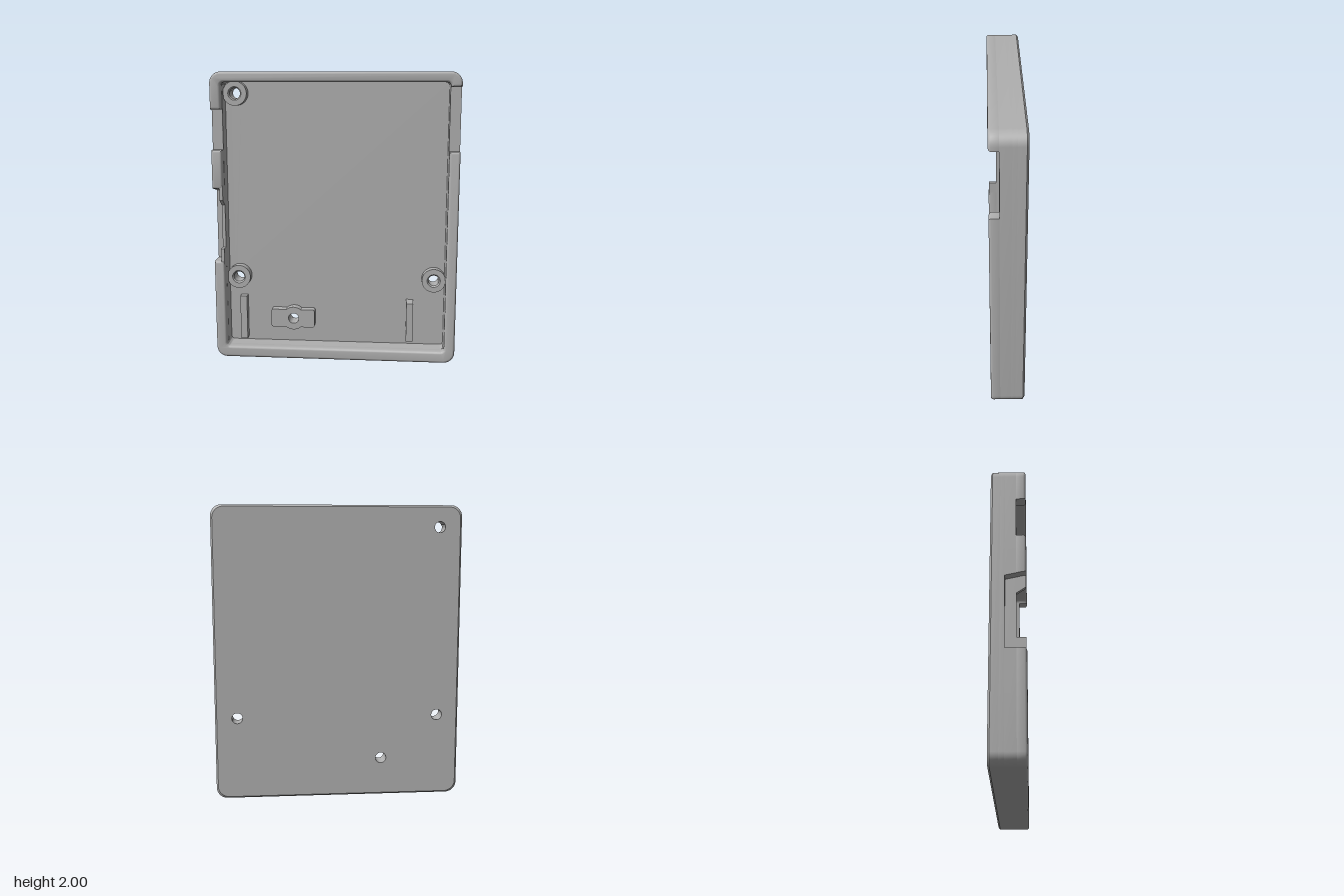
import * as THREE from 'three';
import { toCreasedNormals } from 'three/addons/utils/BufferGeometryUtils.js';

const W = 0.84, H = 2, R = 0.075;               // outer half width, height, corner radius
const IX = 0.767, IB = 0.08, IT = 1.93, IR = 0.025; // inner opening
const BACK = -0.112, FRONT = 0.112, FLOOR = -0.05, POCKET = -0.02, NOTCH = 0.05;
const HOLE = 0.037, BOSS = 0.083, BOSS_TOP = 0.01;
const bosses = [[-0.69, 1.855], [-0.69, 0.565], [0.69, 0.565]];
const bracketAt = [-0.3, 0.265];

// Closed outline from [x, y, cornerRadius] points
function roundPoly(points, Type = THREE.Shape) {
  const s = new Type(), n = points.length, k = 0.552;
  points.forEach(([x, y, r = 0], i) => {
    const c = new THREE.Vector2(x, y);
    const toward = (p, d) => c.clone().add(new THREE.Vector2(p[0] - x, p[1] - y).setLength(d));
    const prev = points[(i + n - 1) % n], next = points[(i + 1) % n];
    const a = toward(prev, r), b = toward(next, r);
    if (i === 0) s.moveTo(a.x, a.y); else s.lineTo(a.x, a.y);
    if (r > 0) {
      const ca = toward(prev, r * (1 - k)), cb = toward(next, r * (1 - k));
      s.bezierCurveTo(ca.x, ca.y, cb.x, cb.y, b.x, b.y);
    }
  });
  s.closePath();
  return s;
}

const circle = (x, y, r) => new THREE.Path().absarc(x, y, r, 0, Math.PI * 2, true);

// Straight extrusion between two depths
function slab(shape, z0, z1) {
  return new THREE.ExtrudeGeometry(shape, { depth: z1 - z0, bevelEnabled: false, curveSegments: 12 })
    .translate(0, 0, z0);
}

export function createModel() {
  const group = new THREE.Group();
  const grey = new THREE.MeshStandardMaterial({ color: 0xb0b0b0 });
  grey.name = 'grey plastic';
  const add = (name, geo) => {
    const mesh = new THREE.Mesh(toCreasedNormals(geo, 0.6), grey);
    mesh.name = name;
    group.add(mesh);
  };

  const outer = [[-W, 0, R], [W, 0, R], [W, H, R], [-W, H, R]];
  const opening = () => roundPoly([[-IX, IB, IR], [-IX, IT, IR], [IX, IT, IR], [IX, IB, IR]], THREE.Path);

  // Back plate with screw holes, its rear edge chamfered
  const plate = roundPoly(outer);
  [...bosses, bracketAt].forEach(([x, y]) => plate.holes.push(circle(x, y, HOLE)));
  const c = 0.012;
  const rear = slab(plate, BACK, BACK + c);
  const p = rear.attributes.position;
  for (let i = 0; i < p.count; i++) {
    const x = p.getX(i), y = p.getY(i) - 1;
    if (p.getZ(i) < BACK + c / 2 && (Math.abs(x) > 0.76 || Math.abs(y) > 0.92))
      p.setXY(i, x * (1 - c / W), 1 + y * (1 - c));
  }
  rear.computeVertexNormals();
  add('backChamfer', rear);
  add('backPlate', slab(plate, BACK + c, FLOOR));

  // Lower wall: a full ring, then a ring with the connector pocket
  const ring = roundPoly(outer);
  ring.holes.push(opening());
  add('lowerWall', slab(ring, FLOOR, POCKET));
  const px = -0.79, p0 = 0.70, p1 = 1.21;
  const pocketRing = roundPoly([...outer, [-W, p1], [px, p1], [px, p0], [-W, p0]]);
  pocketRing.holes.push(opening());
  add('middleWall', slab(pocketRing, POCKET, NOTCH));

  // Rounded rim sections between the side notches
  const b = 0.016;
  const rim = (name, points) => add(name, new THREE.ExtrudeGeometry(roundPoly(points), {
    depth: FRONT - b - NOTCH, bevelThickness: b, bevelSize: b, bevelOffset: -b,
    bevelSegments: 3, curveSegments: 8,
  }).translate(0, 0, NOTCH));
  rim('topRim', [[-W, 1.75], [-IX, 1.75], [-IX, IT, IR], [IX, IT, IR], [IX, 1.9],
    [W, 1.9], [W, H, R], [-W, H, R]]);
  rim('bottomRim', [[-W, p0], [-W, 0, R], [W, 0, R], [W, 1.475], [IX, 1.475],
    [IX, IB, IR], [-IX, IB, IR], [-IX, p0]]);
  rim('sideRim', [[-W, p1], [-IX, p1], [-IX, 1.475], [-W, 1.475]]);

  // Thin inner lips and sloped end of the connector cutout; points are [z, y]
  const sidePiece = (name, points, xIn, xOut) => add(name,
    slab(roundPoly(points), 0, xIn - xOut).rotateY(-Math.PI / 2).translate(xIn, 0, 0));
  const top = FRONT - 0.004;
  sidePiece('lowerLip', [[NOTCH, p0 - 0.02], [top, p0 - 0.02], [top, 0.79], [NOTCH, 0.79]], -IX, px);
  sidePiece('upperLip', [[NOTCH, 1.09], [NOTCH, p1 + 0.02], [top, p1 + 0.02], [top, 1.13]], -IX, px);
  sidePiece('pocketSlope', [[POCKET, 1.185], [POCKET, p1], [0.09, p1]], px, -W);

  // Screw bosses with a small countersink
  const profile = [[BOSS, FLOOR], [BOSS, BOSS_TOP], [HOLE + 0.009, BOSS_TOP], [HOLE, 0], [HOLE, FLOOR]]
    .map(([r, z]) => new THREE.Vector2(r, z));
  bosses.forEach(([x, y]) =>
    add('screwBoss', new THREE.LatheGeometry(profile, 32).rotateX(Math.PI / 2).translate(x, y, 0)));

  // Bracket: a rounded bar with a round bulge about its hole
  const [bx, by] = bracketAt, hh = 0.065, a = Math.asin(hh / BOSS), cr = 0.015;
  const bar = new THREE.Shape();
  bar.moveTo(-0.15, by - hh + cr);
  bar.lineTo(-0.15, by + hh - cr);
  bar.quadraticCurveTo(-0.15, by + hh, -0.15 - cr, by + hh);
  bar.absarc(bx, by, BOSS, a, Math.PI - a, false);
  bar.lineTo(-0.46 + cr, by + hh);
  bar.quadraticCurveTo(-0.46, by + hh, -0.46, by + hh - cr);
  bar.lineTo(-0.46, by - hh + cr);
  bar.quadraticCurveTo(-0.46, by - hh, -0.46 + cr, by - hh);
  bar.absarc(bx, by, BOSS, Math.PI + a, Math.PI * 2 - a, false);
  bar.lineTo(-0.15 - cr, by - hh);
  bar.quadraticCurveTo(-0.15, by - hh, -0.15, by - hh + cr);
  bar.holes.push(circle(bx, by, HOLE));
  add('bracket', slab(bar, FLOOR, BOSS_TOP));

  // Support ribs standing on the floor
  [[-0.685, -0.637, 0.105, 0.42, 0.005], [0.502, 0.55, 0.135, 0.41, 0.06]].forEach(([x0, x1, y0, y1, z]) =>
    add('supportRib', new THREE.BoxGeometry(x1 - x0, y1 - y0, z - FLOOR)
      .translate((x0 + x1) / 2, (y0 + y1) / 2, (z + FLOOR) / 2)));

  return group;
}
